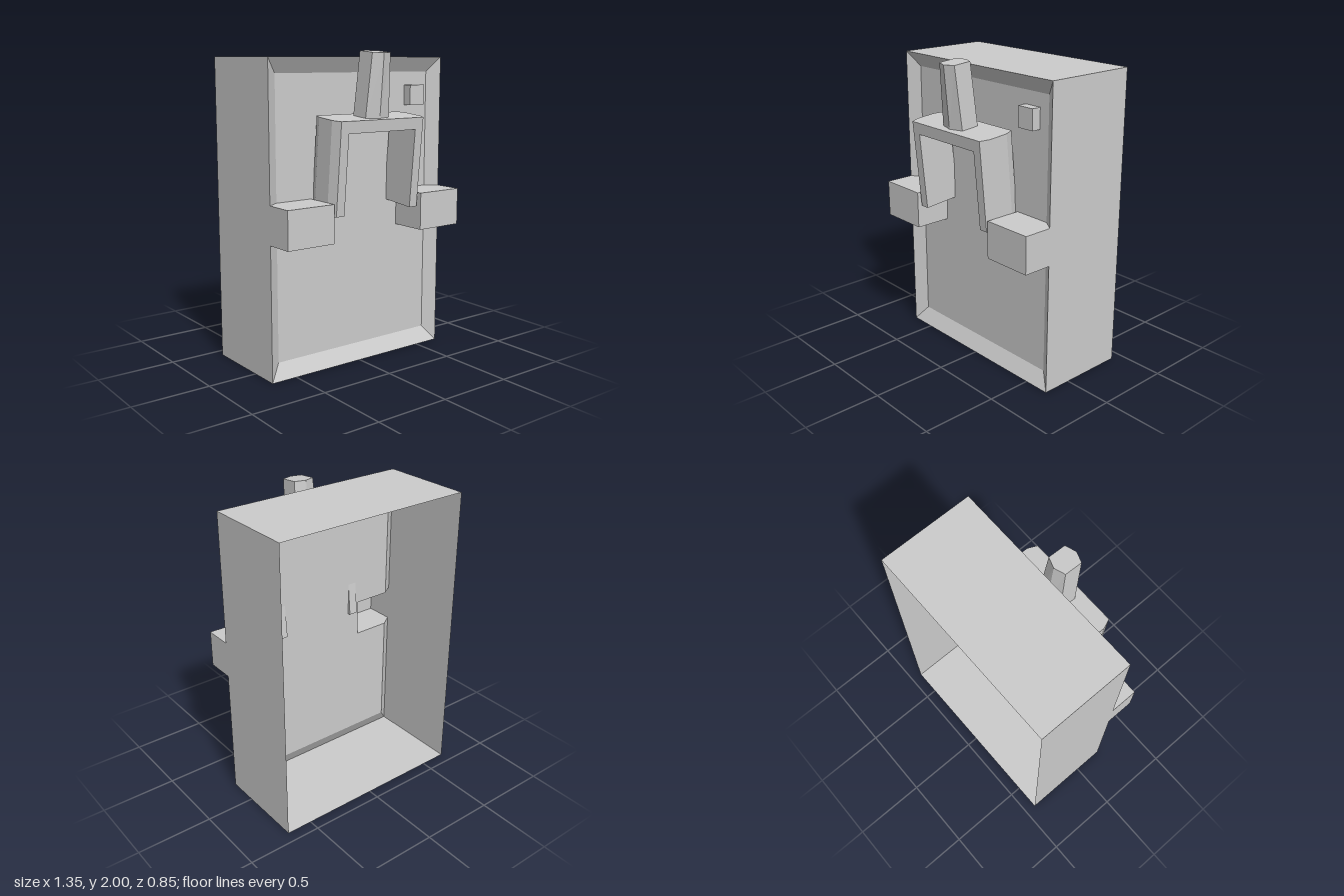
import * as THREE from 'three';
import { mergeGeometries } from 'three/addons/utils/BufferGeometryUtils.js';

const material = new THREE.MeshStandardMaterial({ color: 0xcccccc, flatShading: true, side: THREE.DoubleSide });

// Outer rim, recessed panel and bracket dimensions
const W = 0.675, H = 1.96, BACK = -0.425, RIM = 0.2;
const IN = 0.595, LOW = 0.1, HIGH = 1.865, PANEL = 0.145;
const B0 = 0.86, B1 = 1.1, BX = 0.345, BZ = 0.388;

// Convex flat face from its corners, counter-clockwise from the front
function face(...corners) {
  const pos = [];
  for (let i = 1; i < corners.length - 1; i++) pos.push(...corners[0], ...corners[i], ...corners[i + 1]);
  const g = new THREE.BufferGeometry();
  g.setAttribute('position', new THREE.Float32BufferAttribute(pos, 3));
  g.computeVertexNormals();
  return g;
}

function add(parent, name, geometry) {
  const mesh = new THREE.Mesh(geometry, material);
  mesh.name = name;
  parent.add(mesh);
  return mesh;
}

function addMirrored(parent, name, geometry) {
  add(parent, name + 'Left', geometry);
  add(parent, name + 'Right', geometry).scale.x = -1;
}

export function createModel() {
  const model = new THREE.Group();
  model.name = 'wallUnit';

  // Case: thin walls, open at the back
  add(model, 'caseTop', face([-W, H, RIM], [W, H, RIM], [W, H, BACK], [-W, H, BACK]));
  add(model, 'caseBottom', face([-W, 0, BACK], [W, 0, BACK], [W, 0, RIM], [-W, 0, RIM]));
  addMirrored(model, 'caseSide', face([W, 0, RIM], [W, 0, BACK], [W, H, BACK], [W, H, RIM]));

  // Recessed front panel, notched where the brackets open through it
  const outline = [[IN, LOW], [IN, B0], [BX, B0], [BX, B1], [IN, B1], [IN, HIGH]];
  const mirrored = outline.map(([x, y]) => [-x, y]).reverse();
  const panelShape = new THREE.Shape([...outline, ...mirrored].map(p => new THREE.Vector2(...p)));
  add(model, 'frontPanel', new THREE.ShapeGeometry(panelShape).translate(0, 0, PANEL));

  // Sloping border between rim and panel
  add(model, 'borderBottom', face([-W, 0, RIM], [W, 0, RIM], [IN, LOW, PANEL], [-IN, LOW, PANEL]));
  add(model, 'borderTop', face([-IN, HIGH, PANEL], [IN, HIGH, PANEL], [W, H, RIM], [-W, H, RIM]));
  addMirrored(model, 'borderSide', mergeGeometries([
    face([IN, LOW, PANEL], [W, 0, RIM], [W, B0, RIM], [IN, B0, PANEL]),
    face([IN, B1, PANEL], [W, B1, RIM], [W, H, RIM], [IN, HIGH, PANEL]),
  ]));

  // Hollow side brackets, open to the rear
  const plan = [[BX, PANEL], [BX, BZ], [W, BZ], [W, RIM], [IN, PANEL]];
  const at = (y) => plan.map(([x, z]) => [x, y, z]);
  const lo = at(B0), hi = at(B1);
  const bracket = [face(...hi), face(...lo.slice().reverse())];
  for (let i = 0; i < 3; i++) bracket.push(face(lo[i], lo[i + 1], hi[i + 1], hi[i]));
  addMirrored(model, 'bracket', mergeGeometries(bracket));

  // Small button on the panel
  add(model, 'button', new THREE.BoxGeometry(0.12, 0.13, 0.06).translate(0.465, 1.715, 0.175));

  // Arch and post lean forward together
  const leaning = new THREE.Group();
  leaning.name = 'leaningArch';
  leaning.position.set(0, 1.6, 0.302);
  leaning.rotation.x = 0.091;
  model.add(leaning);

  // Arch: extruded U with its outer upright edges chamfered front and back
  const u = [[-BX, -0.575], [-0.26, -0.575], [-0.26, -0.075], [0.26, -0.075],
    [0.26, -0.575], [BX, -0.575], [BX, 0], [-BX, 0]];
  const arch = new THREE.ExtrudeGeometry(new THREE.Shape(u.map(p => new THREE.Vector2(...p))),
    { depth: 3, steps: 3, bevelEnabled: false });
  const depths = [-0.125, -0.065, 0.065, 0.125];
  const ap = arch.attributes.position;
  for (let i = 0; i < ap.count; i++) {
    const level = Math.round(ap.getZ(i)), x = ap.getX(i);
    if (Math.abs(x) > 0.3 && level % 3 === 0) ap.setX(i, Math.sign(x) * 0.32);
    ap.setZ(i, depths[level]);
  }
  arch.computeVertexNormals();
  add(leaning, 'arch', arch);

  // Six-sided post, narrowing sideways only
  const post = new THREE.CylinderGeometry(1, 1, 0.393, 6).toNonIndexed();
  const pp = post.attributes.position;
  for (let i = 0; i < pp.count; i++) {
    const x = pp.getX(i), y = pp.getY(i), z = pp.getZ(i);
    const half = y > 0 ? 0.07 : 0.091;
    pp.setX(i, Math.abs(x) > 0.1 ? Math.sign(x) * half : 0);
    pp.setZ(i, Math.abs(z) < 0.1 ? 0 : Math.sign(z) * (Math.abs(z) > 0.8 ? 0.085 : 0.06));
  }
  post.translate(0, 0.1965, 0);
  post.computeVertexNormals();
  add(leaning, 'post', post);

  return model;
}
